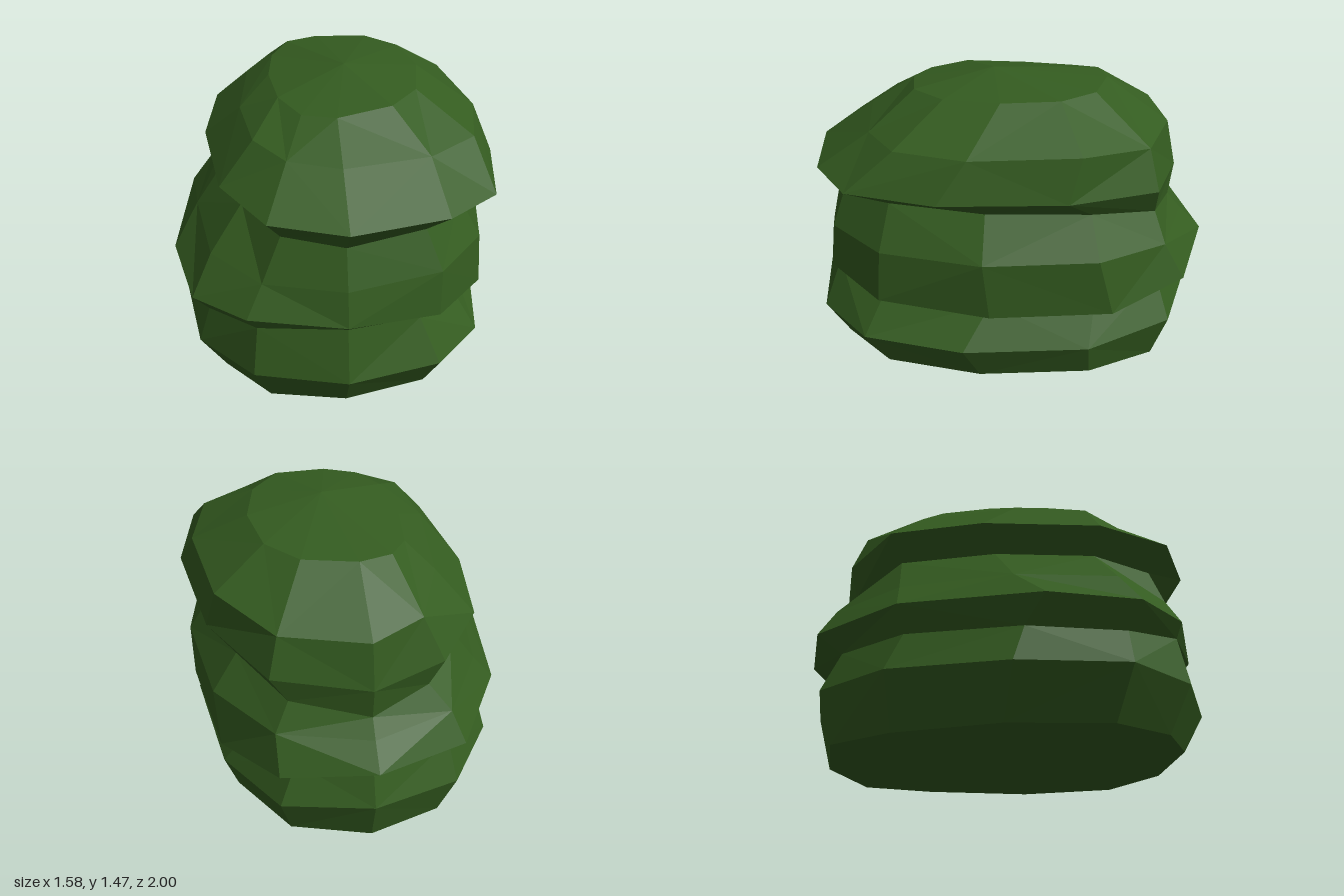
import * as THREE from 'three';

const SIDES = 12;

// One uneven, boxy-oval ring. reach = [right, left, front, back] distances along +x, -x, +z, -z,
// height = y at those four points, shift = z of the two side points.
function ring(reach, height, shift, seed) {
  const [xr, xl, zf, zb] = reach;
  const [yr, yl, yf, yb] = height;
  const points = [];
  for (let i = 0; i < SIDES; i++) {
    const a = (i / SIDES) * Math.PI * 2;
    const c = Math.cos(a), s = Math.sin(a);
    const px = Math.sign(c) * Math.abs(c) ** 0.82;
    const pz = Math.sign(s) * Math.abs(s) ** 0.82;
    // Irregularity fades out at the four main points
    const uneven = Math.abs(Math.sin(2 * a)) * Math.sin(i * 2.3 + seed * 1.7);
    const r = 1 + 0.012 * uneven;
    const y = THREE.MathUtils.lerp(c > 0 ? yr : yl, s > 0 ? yf : yb, s ** 4);
    points.push(new THREE.Vector3(
      px * (c > 0 ? xr : xl) * r,
      y + 0.01 * uneven,
      pz * (s > 0 ? zf : zb) * r + (c > 0 ? shift[0] : shift[1]) * c ** 4));
  }
  return points;
}

// Faceted skin through a stack of rings, optionally closed by a low or high centre point
function layer(name, rings, material, base, peak) {
  const pos = [];
  const tri = (...corners) => corners.forEach((v) => pos.push(v.x, v.y, v.z));
  for (let i = 0; i < SIDES; i++) {
    const j = (i + 1) % SIDES;
    for (let k = 0; k + 1 < rings.length; k++) {
      const lo = rings[k], hi = rings[k + 1];
      if ((i + k) % 2) {
        tri(lo[i], hi[i], lo[j]);
        tri(lo[j], hi[i], hi[j]);
      } else {
        tri(lo[i], hi[i], hi[j]);
        tri(lo[i], hi[j], lo[j]);
      }
    }
    if (base) tri(rings[0][i], rings[0][j], base);
    const top = rings[rings.length - 1];
    if (peak) tri(top[i], peak, top[j]);
  }
  const geometry = new THREE.BufferGeometry();
  geometry.setAttribute('position', new THREE.Float32BufferAttribute(pos, 3));
  geometry.computeVertexNormals();
  const mesh = new THREE.Mesh(geometry, material);
  mesh.name = name;
  return mesh;
}

export function createModel() {
  const group = new THREE.Group();
  group.name = 'layeredBush';
  const leaf = new THREE.MeshStandardMaterial({ color: 0x345c20, flatShading: true });
  leaf.name = 'leaf green';

  // Rings from the ground up
  const foot = ring([0.69, 0.63, 0.9, 0.87], [0.09, 0.05, 0.1, 0.05], [0.08, 0.05], 1);
  const lowerBulge = ring([0.77, 0.76, 1.0, 0.94], [0.27, 0.29, 0.28, 0.31], [0.15, 0.1], 2);
  const lowerCrease = ring([0.62, 0.71, 0.94, 0.86], [0.46, 0.475, 0.55, 0.54], [0.03, 0.15], 3);
  const middleRim = ring([0.78, 0.79, 0.96, 1.0], [0.485, 0.6, 0.57, 0.6], [0.02, 0.25], 3);
  const middleShoulder = ring([0.78, 0.67, 0.92, 0.89], [0.76, 0.76, 0.74, 0.71], [0.05, 0.1], 5);
  const upperCrease = ring([0.65, 0.5, 0.85, 0.82], [0.96, 0.97, 0.93, 0.79], [0.05, 0], 6);
  const upperRim = ring([0.79, 0.61, 0.96, 0.84], [1.06, 1.08, 1.06, 0.96], [0.25, -0.05], 6);
  const upperShoulder = ring([0.72, 0.43, 0.7, 0.79], [1.25, 1.28, 1.24, 1.19], [0.12, 0.1], 8);
  const crown = ring([0.45, 0.28, 0.48, 0.48], [1.42, 1.38, 1.38, 1.41], [0, -0.05], 9);

  group.add(
    layer('lowerFoliage', [foot, lowerBulge, lowerCrease], leaf, new THREE.Vector3(0, 0, 0.35)),
    layer('middleFoliage', [lowerCrease, middleRim, middleShoulder, upperCrease], leaf),
    layer('upperFoliage', [upperCrease, upperRim, upperShoulder, crown], leaf, null,
      new THREE.Vector3(0.08, 1.47, 0.07)),
  );
  return group;
}
